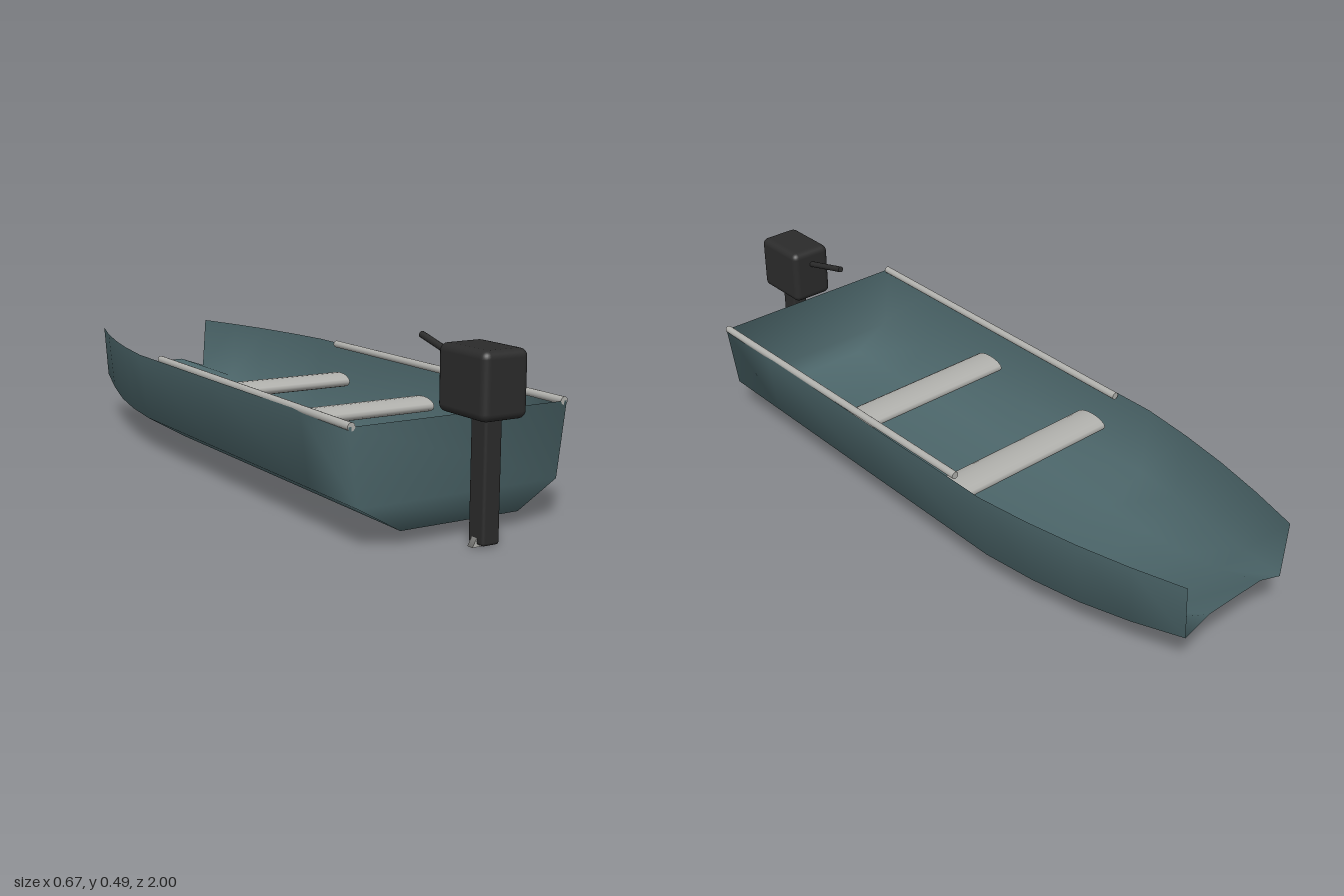
import * as THREE from 'three';
import { RoundedBoxGeometry } from 'three/addons/geometries/RoundedBoxGeometry.js';

const mat = (name, color, side = THREE.FrontSide) => {
  const m = new THREE.MeshStandardMaterial({ color, side });
  m.name = name;
  return m;
};

// Open shell lofted through six-point sections, closed by the transom
function hullGeometry() {
  // z, gunwale half width, chine half width, chine y, floor half width, floor y
  const stations = [
    [0.83, 0.33, 0.303, 0.108, 0.18, 0.037],
    [0.6, 0.33, 0.303, 0.108, 0.18, 0.037],
    [0.1, 0.33, 0.303, 0.108, 0.18, 0.037],
    [-0.39, 0.328, 0.302, 0.108, 0.18, 0.037],
    [-0.55, 0.307, 0.284, 0.109, 0.17, 0.042],
    [-0.7, 0.279, 0.258, 0.113, 0.152, 0.064],
    [-0.85, 0.242, 0.224, 0.125, 0.128, 0.106],
    [-1, 0.197, 0.185, 0.145, 0.1, 0.175],
  ];
  const pos = [], idx = [];
  for (const [z, gx, cx, cy, fx, fy] of stations) {
    const half = [[gx, 0.31], [cx, cy], [fx, fy]];
    for (const [x, y] of half) pos.push(-x, y, z);
    for (const [x, y] of half.reverse()) pos.push(x, y, z);
  }
  for (let s = 0; s < stations.length - 1; s++) {
    for (let i = 0; i < 5; i++) {
      const a = s * 6 + i, b = a + 1, c = a + 6, d = c + 1;
      idx.push(a, c, b, b, c, d);
    }
  }
  // transom strips at the stern
  for (const [a, b, c, d] of [[0, 1, 4, 5], [1, 2, 3, 4]]) idx.push(a, b, c, a, c, d);
  const g = new THREE.BufferGeometry();
  g.setAttribute('position', new THREE.Float32BufferAttribute(pos, 3));
  g.setIndex(idx);
  g.computeVertexNormals();
  return g;
}

// Straight rod between two points
function rod(a, b, radius) {
  const path = new THREE.Vector3().subVectors(b, a);
  const m = new THREE.Mesh(new THREE.CylinderGeometry(radius, radius, path.length(), 12));
  m.position.addVectors(a, b).multiplyScalar(0.5);
  m.quaternion.setFromUnitVectors(new THREE.Vector3(0, 1, 0), path.normalize());
  return m;
}

export function createModel() {
  const boat = new THREE.Group();
  boat.name = 'boat';
  const hullPaint = mat('hullGreen', 0x4c666a, THREE.DoubleSide);
  const metal = mat('aluminium', 0xb0b0ac);
  const black = mat('motorBlack', 0x2b2b2b);
  const add = (parent, name, mesh, material) => {
    mesh.name = name;
    mesh.material = material;
    parent.add(mesh);
    return mesh;
  };

  add(boat, 'hull', new THREE.Mesh(hullGeometry()), hullPaint);

  // Gunwale rails
  for (const [side, s] of [['left', 1], ['right', -1]]) {
    const rail = rod(new THREE.Vector3(s * 0.322, 0.31, 0.83), new THREE.Vector3(s * 0.31, 0.311, -0.27), 0.011);
    add(boat, side + 'Rail', rail, metal);
  }

  // Bench seats with softly crowned tops
  for (const [name, z] of [['bowSeat', -0.203], ['sternSeat', 0.256]]) {
    const g = new THREE.CylinderGeometry(1, 1, 0.57, 16).rotateZ(Math.PI / 2).scale(1, 0.022, 0.056);
    add(boat, name, new THREE.Mesh(g), metal).position.set(0, 0.208, z);
  }

  // Outboard motor
  const motor = new THREE.Group();
  motor.name = 'outboardMotor';
  boat.add(motor);
  const cowl = new THREE.Mesh(new RoundedBoxGeometry(0.134, 0.17, 0.19, 3, 0.02));
  add(motor, 'motorCowl', cowl, black).position.set(0, 0.405, 0.905);
  const leg = new THREE.Mesh(new RoundedBoxGeometry(0.052, 0.345, 0.06, 2, 0.008));
  add(motor, 'motorLeg', leg, black).position.set(0, 0.1775, 0.925);
  add(motor, 'tiller', rod(new THREE.Vector3(0, 0.435, 0.84), new THREE.Vector3(0, 0.483, 0.65), 0.009), black);

  // Three-sided propeller plate at the foot of the leg
  const prop = new THREE.CylinderGeometry(0.045, 0.045, 0.02, 3).rotateX(-Math.PI / 2);
  add(motor, 'propeller', new THREE.Mesh(prop), metal).position.set(0, 0.0225, 0.922);

  return boat;
}
